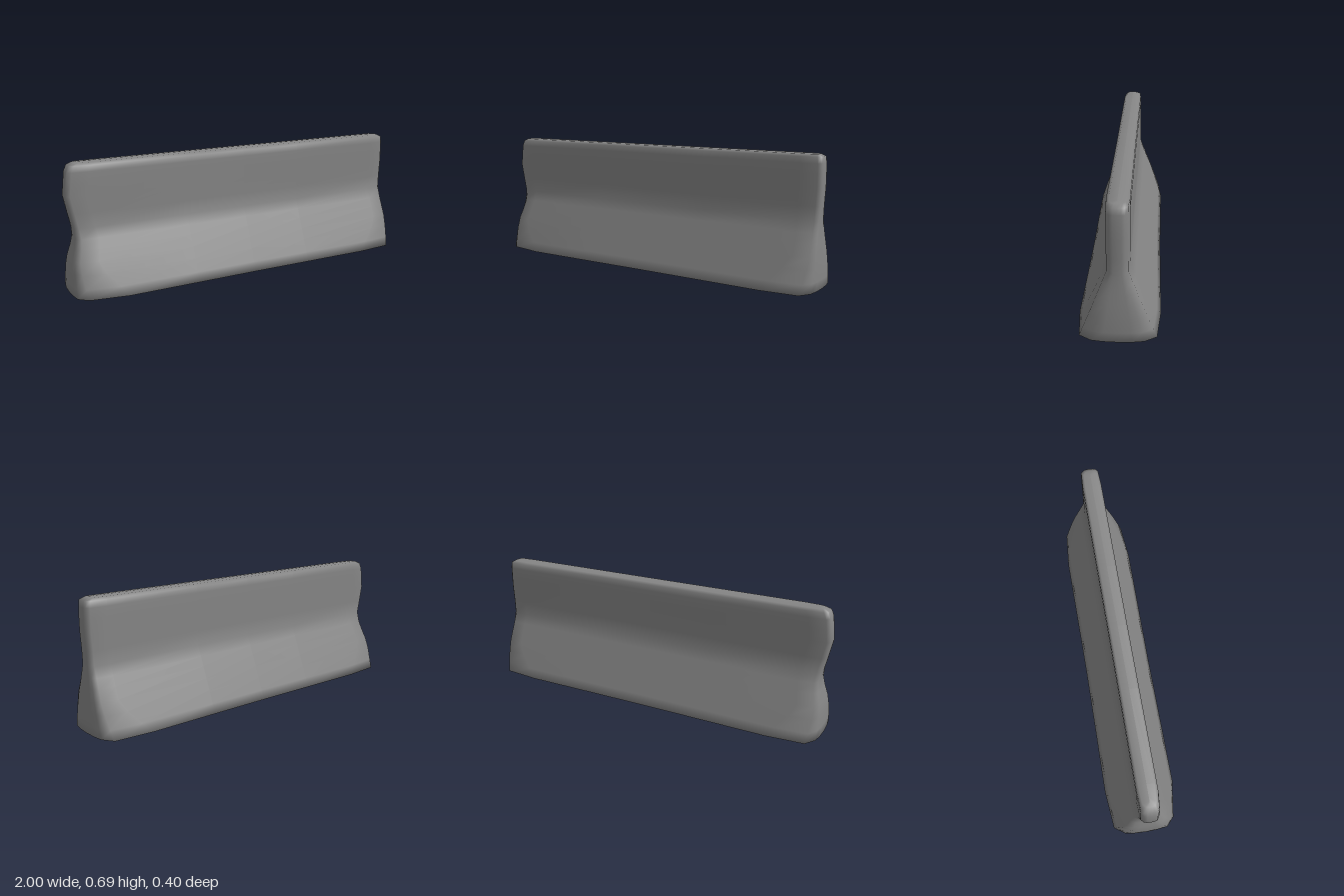
import * as THREE from 'three';

// Plan rings from base to crown: [height, half depth, right end x, left end x, corner size]
const RINGS = [
  [0.0, 0.0, -0.93, 0.93, 0.05],
  [0.002, 0.14, -0.965, 0.965, 0.06],
  [0.01, 0.199, -0.998, 0.998, 0.06],
  [0.06, 0.179, -0.997, 1.0, 0.05],
  [0.13, 0.15, -0.993, 0.998, 0.035],
  [0.19, 0.125, -0.984, 0.995, 0.026],
  [0.25, 0.1, -0.968, 0.991, 0.025],
  [0.3, 0.079, -0.96, 0.988, 0.025],
  [0.355, 0.056, -0.966, 0.986, 0.025],
  [0.43, 0.055, -0.982, 0.988, 0.025],
  [0.52, 0.055, -1.0, 0.993, 0.025],
  [0.59, 0.055, -0.992, 0.993, 0.025],
  [0.64, 0.055, -0.986, 0.992, 0.025],
  [0.672, 0.053, -0.972, 0.988, 0.025],
  [0.684, 0.04, -0.945, 0.965, 0.025],
  [0.687, 0.0, -0.92, 0.94, 0.02],
];

// Half of an end outline: [inset in corner sizes, fraction of half depth]
const CORNER = [[0, 0], [0.05, 0.35], [0.2, 0.62], [0.85, 0.91], [4.3, 1]];
const WORN_CORNER = [[0, 0], [0.05, 0.35], [0.15, 0.6], [0.95, 0.82], [4.3, 0.99]];

// One long side, from the left end to the right end
function sideOutline([, depth, xRight, xLeft, c], rightCorner) {
  return [
    ...CORNER.map(([u, f]) => [xLeft - u * c, depth * f]),
    [0.35, depth * 0.985], [0, depth * 0.975], [-0.35, depth * 0.985],
    ...rightCorner.map(([u, f]) => [xRight + u * c, depth * f]).reverse(),
  ];
}

function ringOutline(ring) {
  // The back is mirrored and shares the two end points; the front right corner is worn
  const back = sideOutline(ring, CORNER).slice(1, -1).reverse();
  return [...sideOutline(ring, WORN_CORNER), ...back.map(([x, z]) => [x, -z])];
}

function loftRings(rings) {
  const positions = [], index = [];
  let n = 0;
  for (const ring of rings) {
    const outline = ringOutline(ring);
    n = outline.length;
    for (const [x, z] of outline) positions.push(x, ring[0], z);
  }
  for (let i = 0; i < rings.length - 1; i++) {
    for (let j = 0; j < n; j++) {
      const a = i * n + j, b = i * n + (j + 1) % n;
      index.push(a, a + n, b, b, a + n, b + n);
    }
  }
  const geometry = new THREE.BufferGeometry();
  geometry.setAttribute('position', new THREE.Float32BufferAttribute(positions, 3));
  geometry.setIndex(index);
  geometry.computeVertexNormals();
  return geometry;
}

export function createModel() {
  const group = new THREE.Group();
  group.name = 'roadBarrier';
  // Flared foot, upright wall and worn, slightly waisted ends in one skin
  const body = new THREE.Mesh(
    loftRings(RINGS),
    new THREE.MeshStandardMaterial({ color: 0x858585 }),
  );
  body.name = 'barrierBody';
  group.add(body);
  return group;
}
